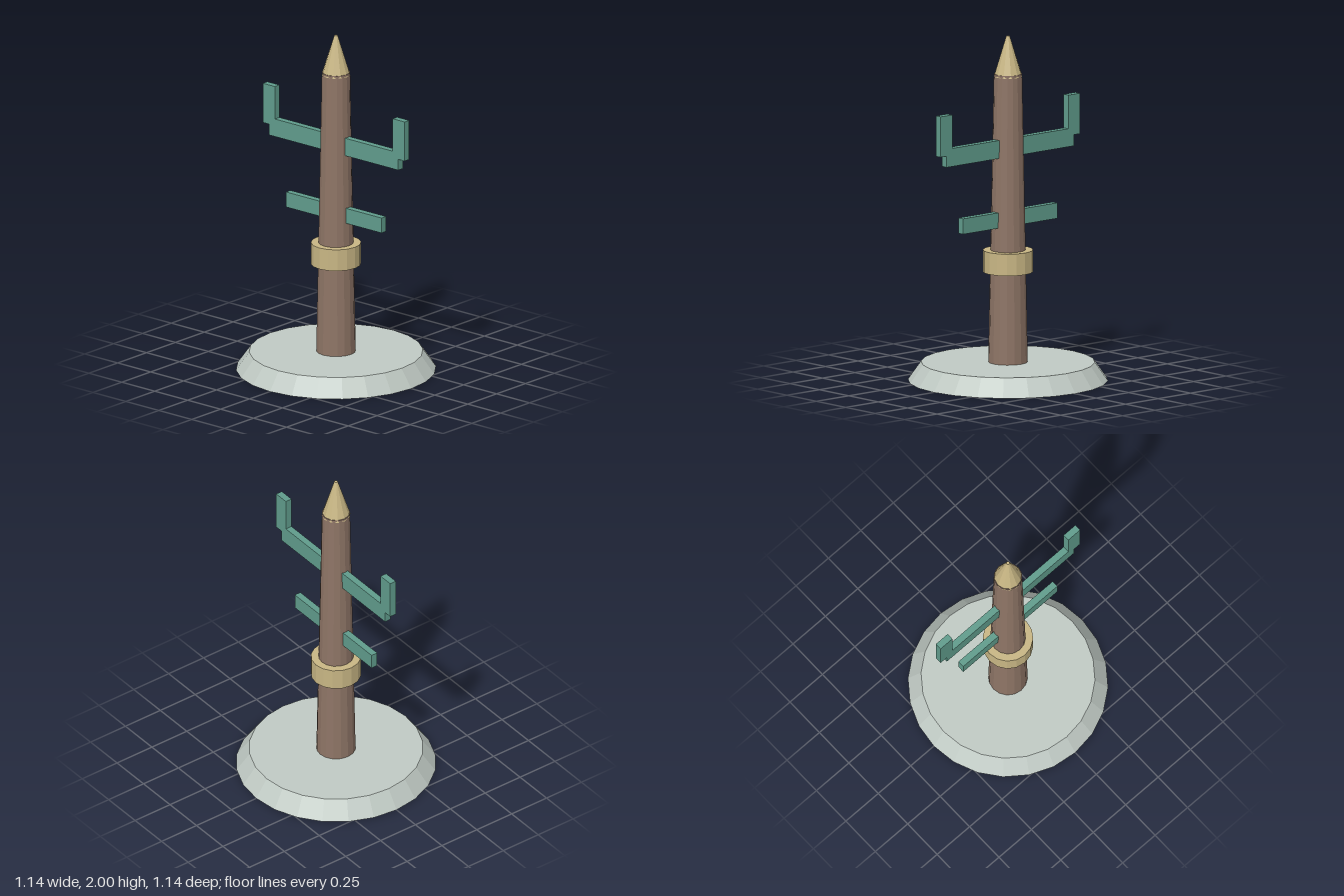
import * as THREE from 'three';

export function createModel() {
  const model = new THREE.Group();
  const material = (name, color) => {
    const m = new THREE.MeshStandardMaterial({ color, flatShading: true });
    m.name = name;
    return m;
  };
  const stone = material('pale stone', 0xc0cac4);
  const wood = material('brown wood', 0x8e7566);
  const gold = material('dull gold', 0xc8b684);
  const teal = material('teal', 0x609c8c);

  const add = (name, geometry, mat, x, y) => {
    const mesh = new THREE.Mesh(geometry, mat);
    mesh.name = name;
    mesh.position.set(x, y, 0);
    model.add(mesh);
  };
  // Tapered round part between two heights
  const round = (name, mat, rTop, rBottom, y0, y1, sides) =>
    add(name, new THREE.CylinderGeometry(rTop, rBottom, y1 - y0, sides), mat, 0, (y0 + y1) / 2);
  // Flat bar between two corners
  const bar = (name, x0, x1, y0, y1) =>
    add(name, new THREE.BoxGeometry(x1 - x0, y1 - y0, 0.04), teal, (x0 + x1) / 2, (y0 + y1) / 2);

  // Base, post, collar and pointed cap
  round('base', stone, 0.497, 0.572, 0, 0.106, 24);
  round('post', wood, 0.081, 0.113, 0.1, 1.78, 16);
  round('collar', gold, 0.144, 0.144, 0.63, 0.757, 16);
  round('cap', gold, 0.01, 0.083, 1.765, 2, 12);

  // Cross arms with upturned ends
  bar('lowerArm', -0.363, 0.363, 0.895, 0.985);
  bar('upperArm', -0.49, 0.49, 1.3, 1.405);
  bar('leftArmTip', 0.447, 0.538, 1.365, 1.6);
  bar('rightArmTip', -0.538, -0.447, 1.365, 1.6);

  return model;
}
